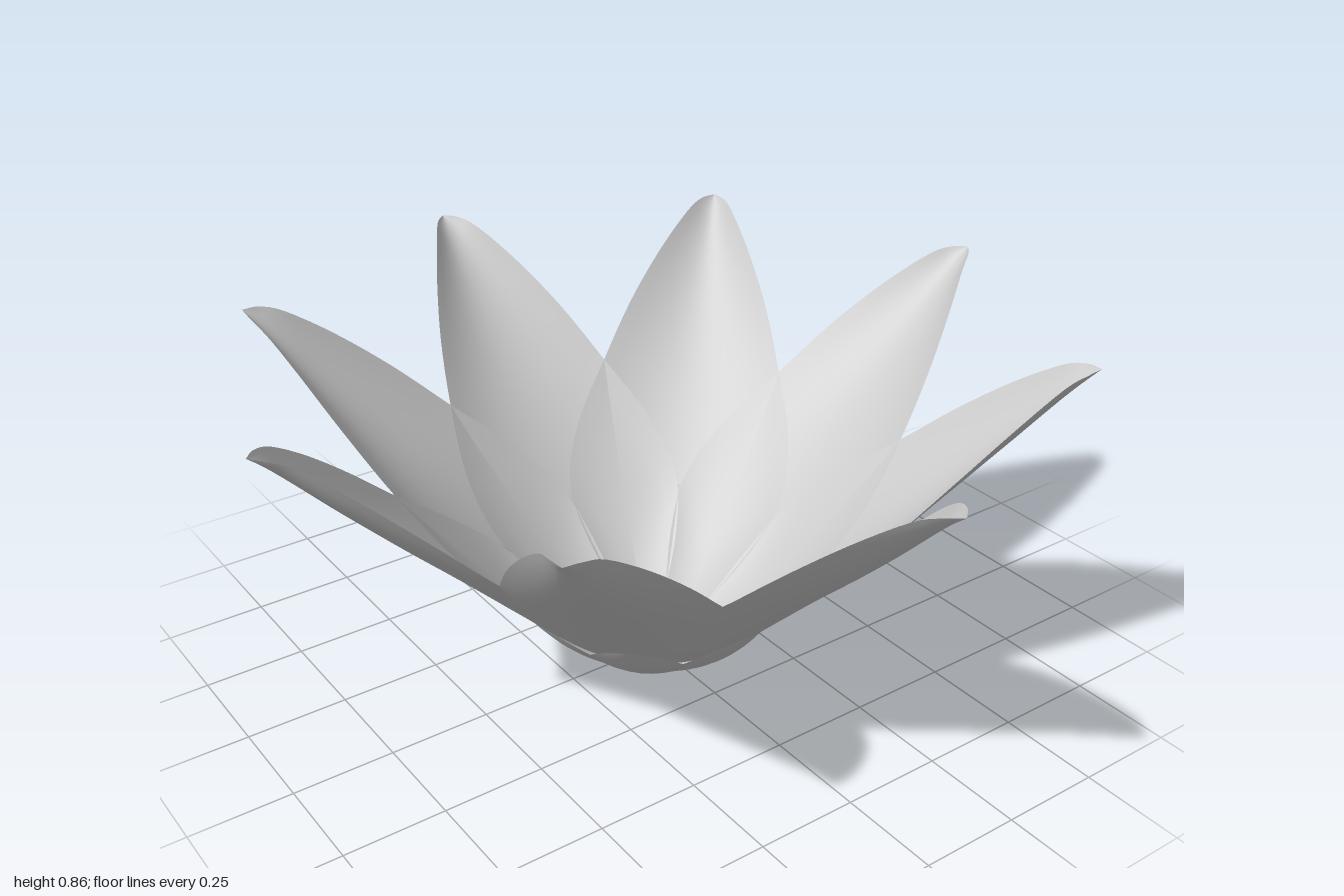
import * as THREE from 'three';

const material = new THREE.MeshStandardMaterial({ color: 0xcccccc, side: THREE.DoubleSide });

// Cupped leaf growing along +z. Each section: [z, rib height, half width, rise of the edge over the rib]
function leafGeometry(sections, across, along) {
  const curve = (fn) => new THREE.CatmullRomCurve3(sections.map(fn), false, 'catmullrom', 0.5);
  const rib = curve(([z, y]) => new THREE.Vector3(0, y, z));
  const edge = curve(([z, y, w, rise]) => new THREE.Vector3(w, y + rise, z));
  const geo = new THREE.PlaneGeometry(2, 1, across, along);
  const pos = geo.attributes.position;
  for (let i = 0; i < pos.count; i++) {
    const s = pos.getX(i);
    const t = pos.getY(i) + 0.5;
    const r = rib.getPoint(t);
    const e = edge.getPoint(t);
    pos.setXYZ(i, s * e.x, r.y + (e.y - r.y) * s * s, r.z);
  }
  geo.computeVertexNormals();
  return geo;
}

// Equal leaves around the vertical axis
function ring(name, geometry, count) {
  const group = new THREE.Group();
  group.name = name + 's';
  for (let i = 0; i < count; i++) {
    const leaf = new THREE.Mesh(geometry, material);
    leaf.name = name;
    leaf.rotation.y = (i / count) * Math.PI * 2;
    group.add(leaf);
  }
  return group;
}

export function createModel() {
  const flower = new THREE.Group();
  flower.name = 'flower';

  // Large petals forming the bowl
  const petal = leafGeometry([
    [0, 0.03, 0, 0],
    [0.1, 0.037, 0.1, 0.03],
    [0.2, 0.085, 0.21, 0.09],
    [0.3, 0.165, 0.28, 0.12],
    [0.43, 0.295, 0.283, 0.105],
    [0.57, 0.435, 0.24, 0.085],
    [0.7, 0.56, 0.188, 0.085],
    [0.82, 0.68, 0.125, 0.075],
    [0.92, 0.785, 0.064, 0.05],
    [0.97, 0.835, 0.032, 0.022],
    [1, 0.86, 0, 0],
  ], 16, 40);
  flower.add(ring('petal', petal, 8));

  // Small pointed sepals under the bowl
  const sepal = leafGeometry([
    [0, 0.03, 0.02, 0],
    [0.07, 0.004, 0.055, 0.015],
    [0.17, 0.04, 0.098, 0.025],
    [0.26, 0.105, 0.115, 0.035],
    [0.33, 0.18, 0.07, 0.02],
    [0.39, 0.26, 0, 0],
  ], 8, 20);
  flower.add(ring('sepal', sepal, 8));

  return flower;
}
